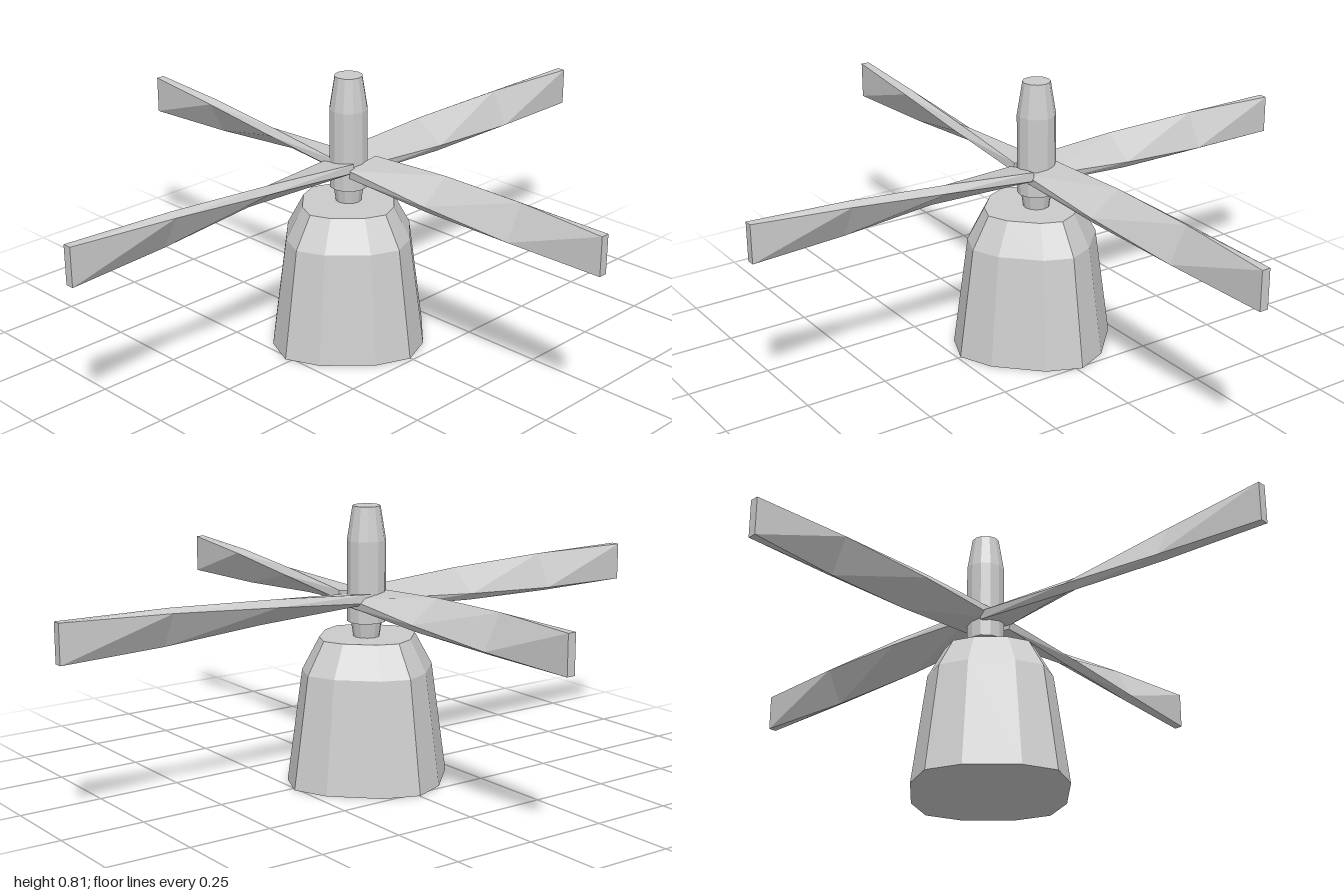
import * as THREE from 'three';

const material = new THREE.MeshStandardMaterial({ color: 0xcccccc, flatShading: true });

function lathe(name, profile, sides) {
  const points = profile.map(([r, y]) => new THREE.Vector2(r, y));
  const mesh = new THREE.Mesh(new THREE.LatheGeometry(points, sides), material);
  mesh.name = name;
  return mesh;
}

// Twelve-sided base whose corners lie on the axes, with flattened diagonals
function makeBase() {
  const base = lathe('base', [[0, 0], [0.257, 0], [0.208, 0.335], [0.153, 0.43], [0, 0.43]], 12);
  const pos = base.geometry.attributes.position;
  const remap = (u) => {
    const a = Math.abs(u);
    const b = a > 0.95 ? 1 : a > 0.7 ? 0.837 : a > 0.3 ? 0.389 : 0;
    return Math.sign(u) * b;
  };
  for (let i = 0; i < pos.count; i++) {
    const x = pos.getX(i), z = pos.getZ(i), r = Math.hypot(x, z);
    if (r > 0.001) {
      pos.setX(i, r * remap(x / r));
      pos.setZ(i, r * remap(z / r));
    }
  }
  base.geometry.computeVertexNormals();
  base.scale.z = 1.022;
  base.position.set(-0.017, 0, 0.002);
  return base;
}

// Three-segment blade along +x, nearly flat at the root and upright at the tip
function makeBlade(root, tip) {
  const length = tip - root;
  const geo = new THREE.BoxGeometry(length, 0.026, 0.114, 3, 1, 1);
  const pos = geo.attributes.position;
  const v = new THREE.Vector3();
  const axis = new THREE.Vector3(1, 0, 0);
  for (let i = 0; i < pos.count; i++) {
    v.fromBufferAttribute(pos, i);
    const t = v.x / length + 0.5;
    v.applyAxisAngle(axis, THREE.MathUtils.degToRad(8 + 82 * t));
    pos.setXYZ(i, v.x + (root + tip) / 2, v.y, v.z);
  }
  geo.computeVertexNormals();
  return new THREE.Mesh(geo, material);
}

export function createModel() {
  const group = new THREE.Group();
  group.add(makeBase());

  // Neck and tapered hub on the same axis
  const neck = lathe('neck', [[0, 0.425], [0.038, 0.425], [0.046, 0.478], [0, 0.478]], 12);
  const hub = lathe('hub', [[0, 0.475], [0.057, 0.475], [0.057, 0.715], [0.041, 0.815], [0, 0.815]], 12);
  for (const part of [neck, hub]) {
    part.position.set(-0.026, 0, -0.008);
    group.add(part);
  }

  // Four blades, the front and back pair slightly longer
  for (let i = 0; i < 4; i++) {
    const alongZ = i % 2 === 1;
    const blade = makeBlade(0.025, alongZ ? 1 : 0.9);
    blade.name = 'blade' + (i + 1);
    blade.rotation.y = i * Math.PI / 2;
    blade.position.set(alongZ ? -0.026 : 0, 0.543, alongZ ? 0 : -0.014);
    group.add(blade);
  }
  return group;
}
